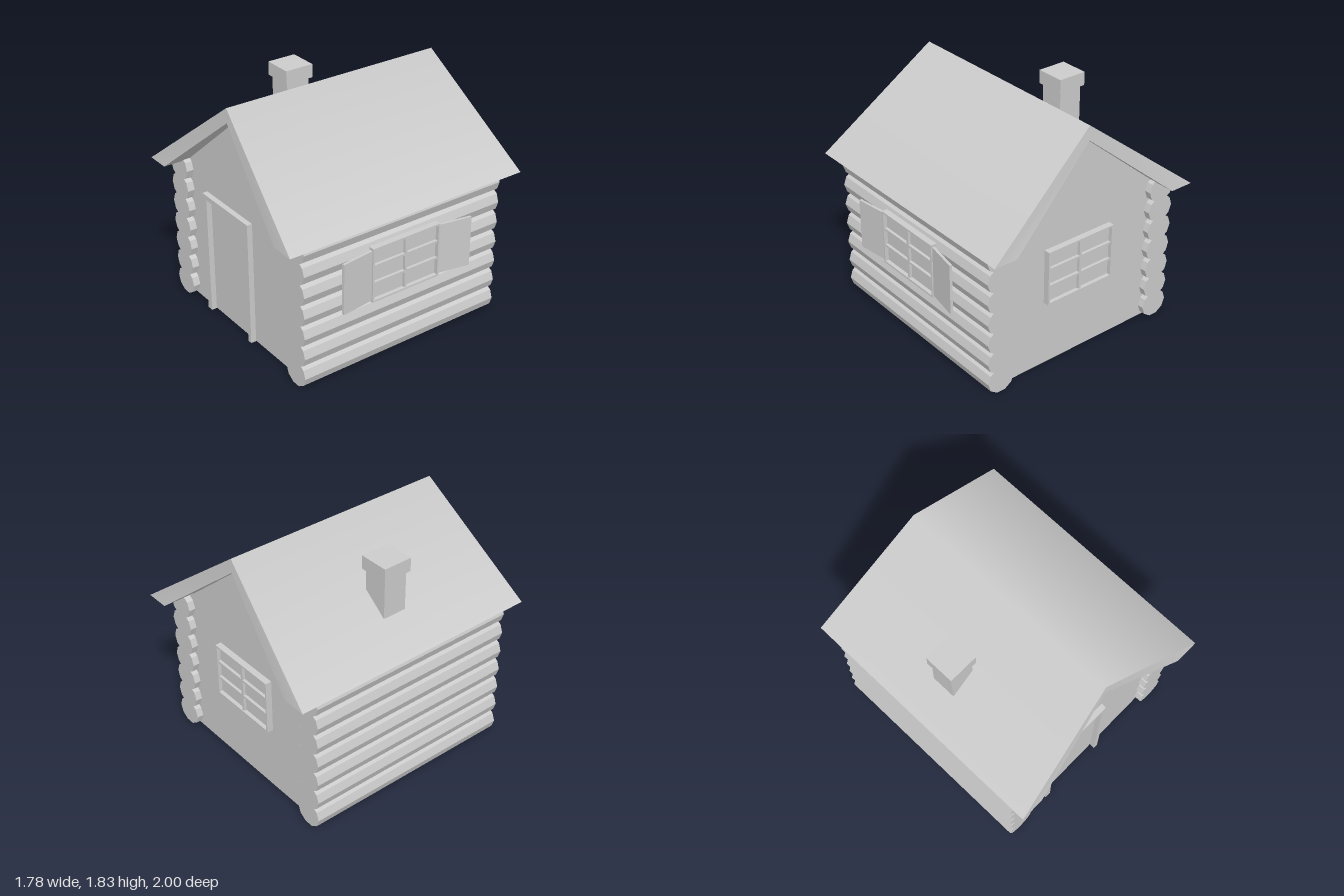
import * as THREE from 'three';

const material = new THREE.MeshStandardMaterial({ color: 0xcccccc, side: THREE.DoubleSide });
const flatMaterial = new THREE.MeshStandardMaterial({ color: 0xcccccc, flatShading: true, side: THREE.DoubleSide });

function addMesh(parent, name, geometry, mat = flatMaterial) {
  const mesh = new THREE.Mesh(geometry, mat);
  mesh.name = name;
  parent.add(mesh);
  return mesh;
}

// Box given by its minimum and maximum corners
function addBox(parent, name, [x0, y0, z0], [x1, y1, z1]) {
  const mesh = addMesh(parent, name, new THREE.BoxGeometry(x1 - x0, y1 - y0, z1 - z0));
  mesh.position.set((x0 + x1) / 2, (y0 + y1) / 2, (z0 + z1) / 2);
  return mesh;
}

// Indexed surface from four-cornered faces
function quads(points, faces) {
  const geometry = new THREE.BufferGeometry();
  geometry.setAttribute('position', new THREE.Float32BufferAttribute(points.flat(), 3));
  geometry.setIndex(faces.flatMap(([a, b, c, d]) => [a, b, c, a, c, d]));
  geometry.computeVertexNormals();
  return geometry;
}

// Stacked ten-sided logs along each side
function createLogWall(name, x) {
  const wall = new THREE.Group();
  wall.name = name;
  const geometry = new THREE.CylinderGeometry(0.112, 0.112, 1.71, 10);
  geometry.rotateY(Math.PI / 2).rotateX(Math.PI / 2).scale(1, 0.94, 1);
  for (let i = 0; i < 7; i++) {
    addMesh(wall, 'log', geometry).position.set(x, 0.1 + 0.1635 * i, 0);
  }
  return wall;
}

function createGableWall(name, z) {
  const shape = new THREE.Shape([
    [-0.72, 0.01], [0.69, 0.01], [0.69, 1.14], [-0.005, 1.72], [-0.71, 1.14],
  ].map(([x, y]) => new THREE.Vector2(x, y)));
  const wall = new THREE.Mesh(new THREE.ShapeGeometry(shape), flatMaterial);
  wall.name = name;
  wall.position.z = z;
  if (z < 0) wall.geometry.scale(-1, 1, 1).rotateY(Math.PI);
  return wall;
}

// Chevron roof whose ends lean inwards towards the ridge
function createRoof() {
  const roof = new THREE.Group();
  roof.name = 'roof';
  const profile = [
    [-0.89, 1.14], [-0.005, 1.83], [0.88, 1.14], [0.695, 1.14], [-0.005, 1.72], [-0.705, 1.14],
  ];
  const points = [1, -1].flatMap((s) => profile.map(([x, y]) => [x, y, s * (y > 1.2 ? 0.885 : 1)]));
  const side = (i) => [i, (i + 1) % 6, (i + 1) % 6 + 6, i + 6];
  const top = quads(points, [side(0), side(1)]);
  // Upright normals soften the ridge evenly along its length
  for (const i of [1, 7]) top.attributes.normal.setXYZ(i, 0, 1, 0);
  addMesh(roof, 'roofTop', top, material);
  addMesh(roof, 'roofUnderside', quads(points, [2, 3, 4, 5].map(side)));
  addMesh(roof, 'roofEnds', quads(points, [[0, 5, 4, 1], [1, 4, 3, 2], [7, 10, 11, 6], [8, 9, 10, 7]]), material);
  return roof;
}

// Six-pane window facing +z, with its back at z = 0
function createWindow(name) {
  const group = new THREE.Group();
  group.name = name;
  const w = 0.295, h = 0.213, t = 0.014, depth = 0.05;
  addBox(group, 'panes', [-w, -h, 0], [w, h, 0.02]);
  for (const s of [-1, 1]) {
    addBox(group, 'frameSide', [s * (w - t / 2) - t / 2, -h, 0], [s * (w - t / 2) + t / 2, h, depth]);
    addBox(group, 'frameRail', [-w, s * (h - t / 2) - t / 2, 0], [w, s * (h - t / 2) + t / 2, depth]);
    addBox(group, 'crossBar', [-w + t, s * 0.068 - 0.008, 0], [w - t, s * 0.068 + 0.008, 0.042]);
  }
  addBox(group, 'middleBar', [-0.01, -h + t, 0], [0.01, h - t, 0.042]);
  return group;
}

export function createModel() {
  const cabin = new THREE.Group();
  cabin.name = 'logCabin';

  cabin.add(createLogWall('leftLogWall', 0.712), createLogWall('rightLogWall', -0.748));
  cabin.add(createGableWall('frontWall', 0.8), createGableWall('backWall', -0.805));
  cabin.add(createRoof());

  // Door frame set through the front wall
  const doorFrame = new THREE.Group();
  doorFrame.name = 'doorFrame';
  addBox(doorFrame, 'doorPost', [-0.455, 0.005, 0.77], [-0.405, 0.945, 0.842]);
  addBox(doorFrame, 'doorPost', [0.093, 0.005, 0.77], [0.13, 0.945, 0.842]);
  addBox(doorFrame, 'doorLintel', [-0.455, 0.945, 0.77], [0.13, 0.983, 0.842]);
  cabin.add(doorFrame);

  // Windows on the back and on one side
  const backWindow = createWindow('backWindow');
  backWindow.position.set(0, 0.74, -0.803);
  backWindow.rotation.y = Math.PI;
  const sideWindow = createWindow('sideWindow');
  sideWindow.position.set(0.808, 0.742, 0.015);
  sideWindow.rotation.y = Math.PI / 2;
  cabin.add(backWindow, sideWindow);

  // Shutters hinged at the window edges, slightly ajar
  for (const s of [-1, 1]) {
    const hinge = new THREE.Group();
    hinge.name = s > 0 ? 'frontShutter' : 'backShutter';
    hinge.position.set(0.835, 0.74, 0.015 + s * 0.295);
    hinge.rotation.y = s * (s > 0 ? 0.12 : 0.18);
    addBox(hinge, 'shutterPanel', [-0.008, -0.197, Math.min(0, s * 0.262)], [0.012, 0.197, Math.max(0, s * 0.262)]);
    cabin.add(hinge);
  }

  // Chimney on the right slope
  const chimney = new THREE.Group();
  chimney.name = 'chimney';
  addBox(chimney, 'chimneyStack', [-0.635, 1.33, -0.095], [-0.445, 1.648, 0.095]);
  addBox(chimney, 'chimneyCap', [-0.655, 1.648, -0.115], [-0.425, 1.752, 0.115]);
  cabin.add(chimney);

  return cabin;
}
